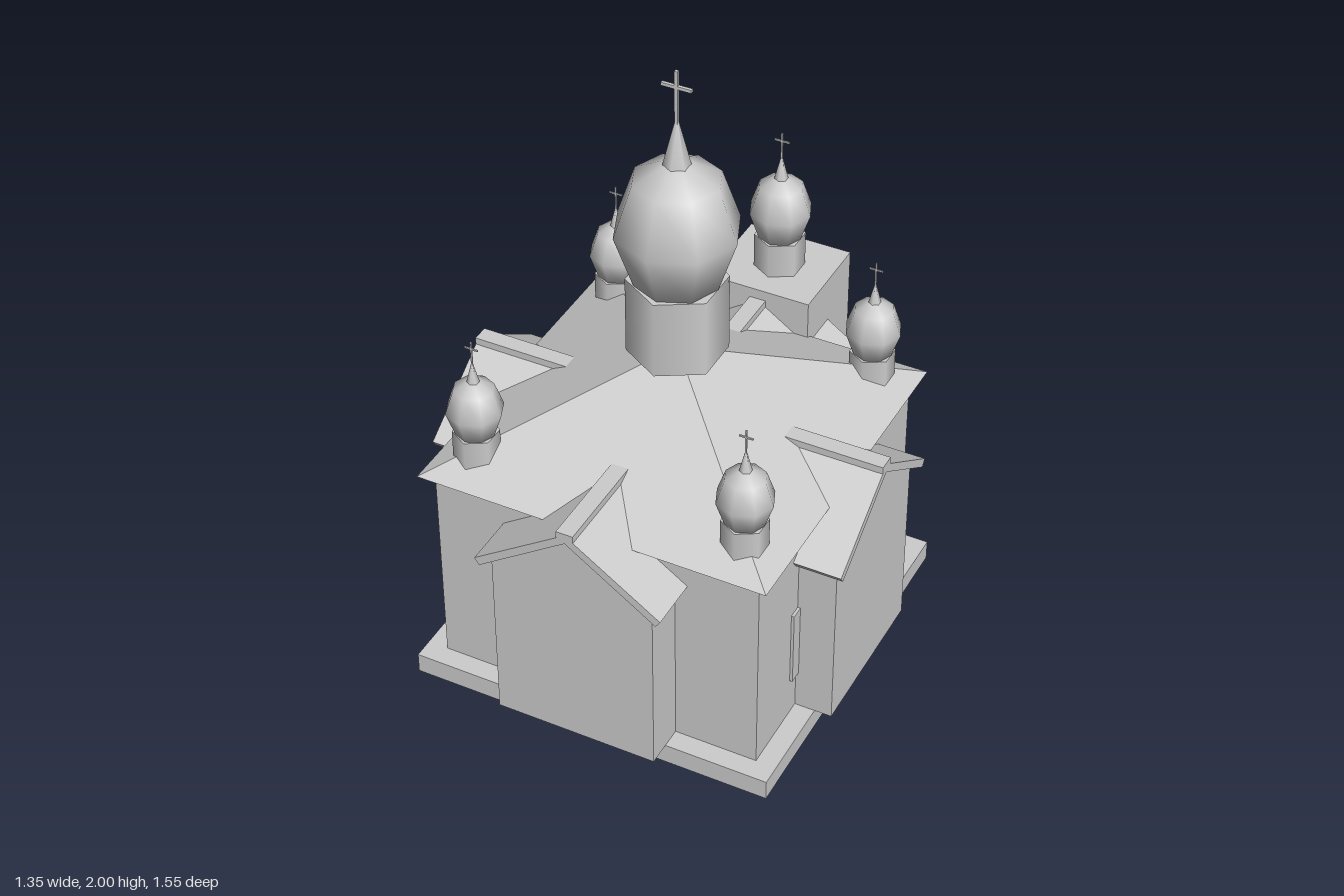
import * as THREE from 'three';

const CZ = 0.0825; // z of the main hall's centre
const stone = new THREE.MeshStandardMaterial({ color: 0xcccccc });
stone.name = 'paleGreyStone';

function add(parent, name, geometry, x = 0, y = 0, z = 0) {
  const mesh = new THREE.Mesh(geometry, stone);
  mesh.name = name;
  mesh.position.set(x, y, z);
  parent.add(mesh);
  return mesh;
}

// Box given by its lower and upper corners
function block(parent, name, [x0, y0, z0], [x1, y1, z1]) {
  return add(parent, name, new THREE.BoxGeometry(x1 - x0, y1 - y0, z1 - z0),
    (x0 + x1) / 2, (y0 + y1) / 2, (z0 + z1) / 2);
}

function polygon(points) {
  return new THREE.Shape(points.map(([x, y]) => new THREE.Vector2(x, y)));
}

// Prism along z from z0 to z1
function prism(points, z0, z1) {
  return new THREE.ExtrudeGeometry(polygon(points), { depth: z1 - z0, bevelEnabled: false })
    .translate(0, 0, z0);
}

// Drum, faceted onion dome, spire and cross
function cupola(name, scale) {
  const group = new THREE.Group();
  group.name = name;
  add(group, 'drum', new THREE.CylinderGeometry(0.151, 0.151, 0.255, 6), 0, 0.1275, 0);
  const dome = [[0, 0.255], [0.132, 0.255], [0.19, 0.43], [0.134, 0.595], [0.04, 0.645], [0, 0.645]];
  add(group, 'onionDome', new THREE.LatheGeometry(dome.map(([r, y]) => new THREE.Vector2(r, y)), 8));
  add(group, 'spire', new THREE.CylinderGeometry(0.005, 0.042, 0.15, 6), 0, 0.715, 0);
  block(group, 'crossPost', [-0.005, 0.77, -0.005], [0.005, 0.95, 0.005]);
  block(group, 'crossBar', [-0.047, 0.893, -0.005], [0.047, 0.903, 0.005]);
  group.scale.setScalar(scale);
  return group;
}

// Gabled arm facing +z, measured from the hall's centre
function gableArm(name, wallEnd, roofEnd) {
  const group = new THREE.Group();
  group.name = name;
  add(group, 'gableWall', prism(
    [[-0.26, 0.067], [0.26, 0.067], [0.26, 0.655], [0, 0.838], [-0.26, 0.655]], 0.35, wallEnd));
  add(group, 'gableRoof', prism(
    [[0.285, 0.64], [0.3, 0.662], [0, 0.865], [-0.3, 0.662], [-0.285, 0.64], [0, 0.835]], 0.3, roofEnd));
  block(group, 'ridgeCap', [-0.027, 0.838, 0.3], [0.027, 0.87, roofEnd]);
  group.position.z = CZ;
  return group;
}

export function createModel() {
  const model = new THREE.Group();
  model.name = 'church';

  // Plinth and main hall
  block(model, 'plinth', [-0.59, 0, -0.508], [0.59, 0.067, 0.673]);
  block(model, 'hall', [-0.525, 0.067, -0.4375], [0.525, 0.77, 0.6075]);

  // Pyramid roof with flat facets
  const roof = new THREE.ConeGeometry(0.564 * Math.SQRT2, 0.288, 4).rotateY(Math.PI / 4).toNonIndexed();
  roof.computeVertexNormals();
  add(model, 'pyramidRoof', roof, 0, 0.767 + 0.144, CZ);

  // Four gabled arms
  const arms = [
    ['frontArm', 0, 0.665, 0.693],
    ['leftArm', Math.PI / 2, 0.645, 0.675],
    ['backArm', Math.PI, 0.657, 0.69],
    ['rightArm', -Math.PI / 2, 0.645, 0.675],
  ];
  for (const [name, angle, wallEnd, roofEnd] of arms) {
    const arm = gableArm(name, wallEnd, roofEnd);
    arm.rotation.y = angle;
    model.add(arm);
  }

  // Side and back windows as shallow panels
  for (const s of [-1, 1]) {
    for (const t of [-1, 1]) {
      add(model, 'sideWindow', new THREE.BoxGeometry(0.02, 0.26, 0.105),
        s * 0.524, 0.328, CZ + t * 0.25);
    }
    add(model, 'backWindow', new THREE.BoxGeometry(0.125, 0.26, 0.03), s * 0.283, 0.328, -0.442);
  }

  // Bell tower with its door at the back
  block(model, 'bellTower', [-0.172, 0, -0.766], [0.172, 0.904, -0.457]);
  block(model, 'towerDoor', [-0.095, 0.07, -0.779], [0.095, 0.455, -0.76]);

  // Cupolas
  const place = (name, scale, x, y, z) => {
    const c = cupola(name, scale);
    c.position.set(x, y, z);
    model.add(c);
  };
  place('mainCupola', 1, 0, 1.05, CZ);
  place('towerCupola', 0.53, 0, 0.885, -0.611);
  for (const x of [-0.434, 0.434]) {
    for (const z of [-0.434, 0.434]) place('cornerCupola', 0.462, x, 0.777, CZ + z);
  }
  return model;
}
